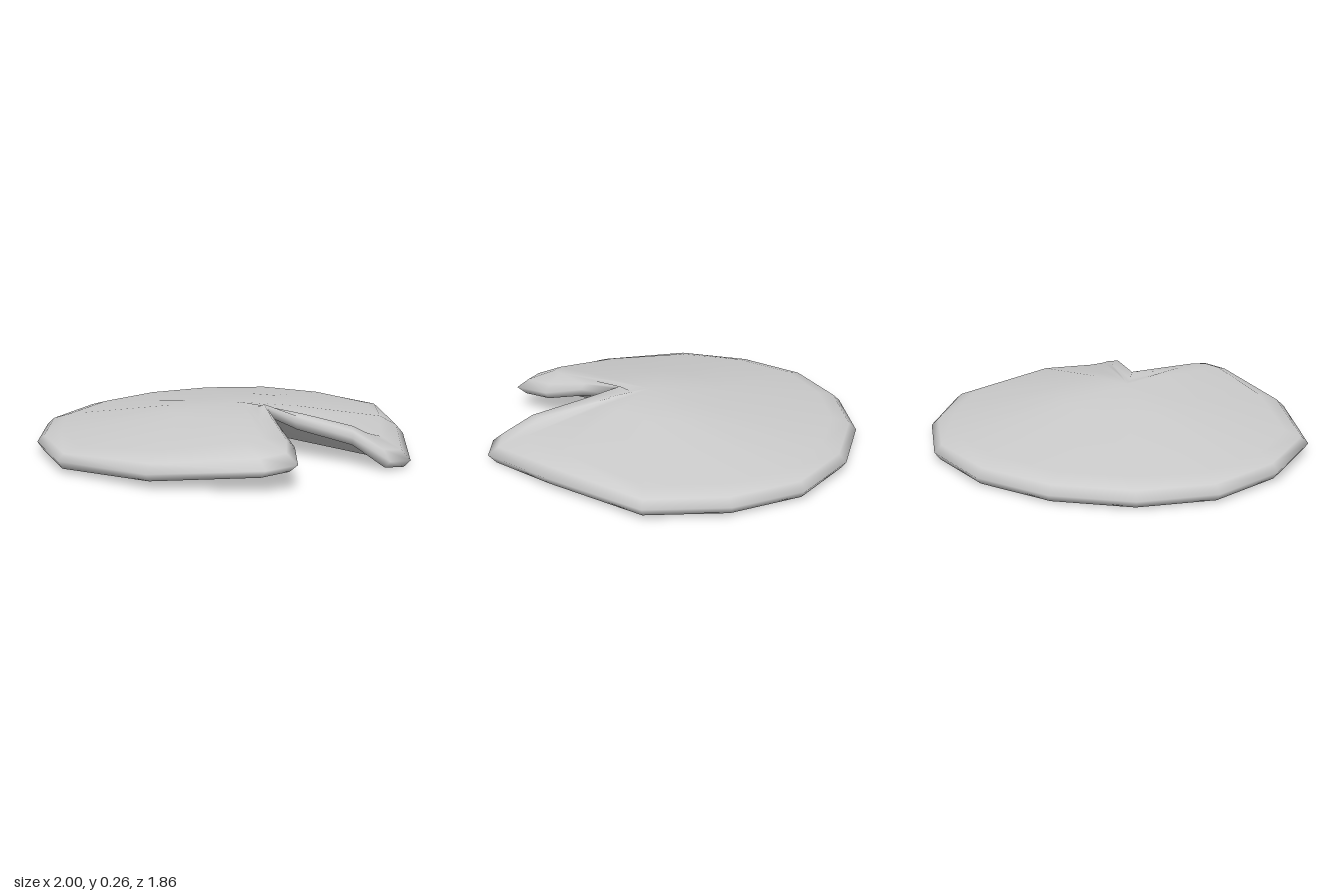
import * as THREE from 'three';

// Outline stations, clockwise from above: rim x, z, y, then the crest point inside it x, z, y
const backSide = [
  [0.4, -0.86, 0.054, 0.34, -0.74, 0.12],
  [0.73, -0.66, 0.056, 0.64, -0.57, 0.12],
  [0.93, -0.33, 0.06, 0.82, -0.28, 0.12],
  [1.0, 0.07, 0.065, 0.88, 0.07, 0.12],
];
const lobes = [
  // left lobe, low, highest along the notch
  [0.73, 0.57, 0.067, 0.63, 0.5, 0.158],
  [0.47, 0.91, 0.042, 0.43, 0.74, 0.13],
  [0.33, 0.92, 0.06, 0.35, 0.73, 0.155],
  [0.24, 0.75, 0.15, 0.3, 0.67, 0.187],
  [0.09, 0.49, 0.195, 0.16, 0.45, 0.222],
  // notch end
  [0.03, 0.33, 0.245, 0.02, 0.26, 0.236],
  // right lobe, lifted
  [-0.04, 0.53, 0.205, -0.12, 0.48, 0.23],
  [-0.1, 0.74, 0.153, -0.22, 0.68, 0.225],
  [-0.22, 0.925, 0.133, -0.28, 0.72, 0.22],
  [-0.37, 0.89, 0.12, -0.36, 0.71, 0.208],
  [-0.78, 0.54, 0.083, -0.66, 0.46, 0.158],
];
const mirrored = backSide.map(([x, z, y, cx, cz, cy]) => [-x, z, y, -cx, cz, cy]).reverse();
const stations = [[0, -0.93, 0.054, 0, -0.8, 0.12], ...backSide, ...lobes, ...mirrored];

const TOP = new THREE.Vector3(0, 0.243, 0.15);
const BOTTOM = new THREE.Vector3(0.03, 0.08, 0);

// Rings from the crest, over the rounded rim, to the nearly flat underside:
// t = how far in from rim to crest, height = rule for y
const rings = [
  { t: 1, height: (rim, crest) => crest },
  { t: 0.3, height: (rim, crest) => rim + (crest - rim) * 0.3 + 0.017 },
  { t: 0, height: (rim) => rim },
  { t: 0.22, height: (rim) => rim - 0.04 },
  { t: 1, height: (rim) => rim * 0.75 },
].map(({ t, height }) =>
  stations.map(([x, z, y, cx, cz, cy]) => new THREE.Vector3(x + (cx - x) * t, height(y, cy), z + (cz - z) * t)));

// Inner ring that swells the dome towards the sides
rings.unshift(rings[0].map((crest) => {
  const p = crest.clone().lerp(TOP, 0.6);
  p.y += 0.04 * Math.abs(p.x);
  return p;
}));

function leafGeometry() {
  const n = stations.length;
  const top = rings.length * n;
  const bottom = top + 1;
  const last = top - n;
  const index = [];
  for (let i = 0; i < n; i++) {
    const j = (i + 1) % n;
    index.push(top, j, i);
    for (let a = 0; a < last; a += n) {
      const b = a + n;
      index.push(a + i, a + j, b + i, a + j, b + j, b + i);
    }
    index.push(bottom, last + i, last + j);
  }
  const geometry = new THREE.BufferGeometry().setFromPoints([...rings.flat(), TOP, BOTTOM]);
  geometry.setIndex(index);
  geometry.computeVertexNormals();
  return geometry;
}

export function createModel() {
  const group = new THREE.Group();
  group.name = 'lilyPad';
  const leaf = new THREE.Mesh(leafGeometry(), new THREE.MeshStandardMaterial({ color: 0xcccccc }));
  leaf.name = 'leaf';
  group.add(leaf);
  return group;
}
